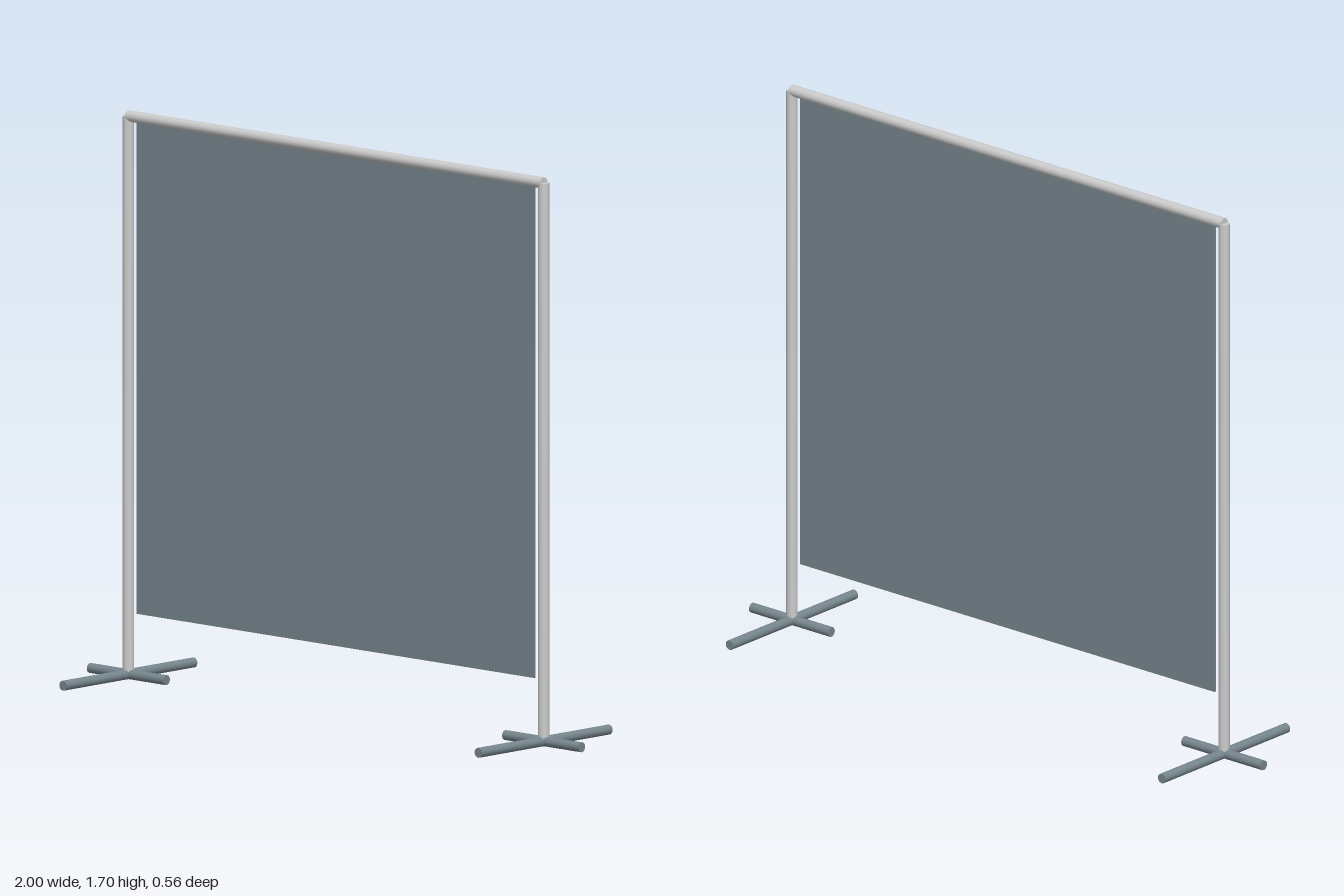
import * as THREE from 'three';

const POST_X = 0.845, TOP_Y = 1.686, POST_R = 0.017;
const FOOT_R = 0.015, FOOT_X = 0.155, FOOT_Z = 0.28;

export function createModel() {
  const model = new THREE.Group();
  model.name = 'freestandingScreen';

  const metal = new THREE.MeshStandardMaterial({ color: 0xcccccc });
  const fabric = new THREE.MeshStandardMaterial({ color: 0x76868d });
  const footPaint = new THREE.MeshStandardMaterial({ color: 0x76868d });

  // Round tube of a given length, lying along the chosen axis
  function rod(name, radius, length, axis, material) {
    const geometry = new THREE.CylinderGeometry(radius, radius, length, 16);
    if (axis === 'x') geometry.rotateZ(Math.PI / 2);
    if (axis === 'z') geometry.rotateX(Math.PI / 2);
    const mesh = new THREE.Mesh(geometry, material);
    mesh.name = name;
    return mesh;
  }

  // Upright with its crossed feet, one per side
  for (const [side, sign] of [['left', 1], ['right', -1]]) {
    const stand = new THREE.Group();
    stand.name = side + 'Stand';
    stand.position.set(sign * POST_X, FOOT_R, 0);

    const postHeight = TOP_Y - FOOT_R;
    const post = rod(side + 'Post', POST_R, postHeight, 'y', metal);
    post.position.y = postHeight / 2;

    stand.add(
      post,
      rod(side + 'SideFoot', FOOT_R, FOOT_X * 2, 'x', footPaint),
      rod(side + 'LongFoot', FOOT_R, FOOT_Z * 2, 'z', footPaint)
    );
    model.add(stand);
  }

  // Rail across the tops of the posts
  const rail = rod('topRail', POST_R, POST_X * 2, 'x', metal);
  rail.position.y = TOP_Y;
  model.add(rail);

  // Thin panel hanging from the rail
  const panelBottom = 0.2;
  const panel = new THREE.Mesh(new THREE.BoxGeometry(1.62, TOP_Y - panelBottom, 0.006), fabric);
  panel.name = 'hangingPanel';
  panel.position.y = (TOP_Y + panelBottom) / 2;
  model.add(panel);

  return model;
}
